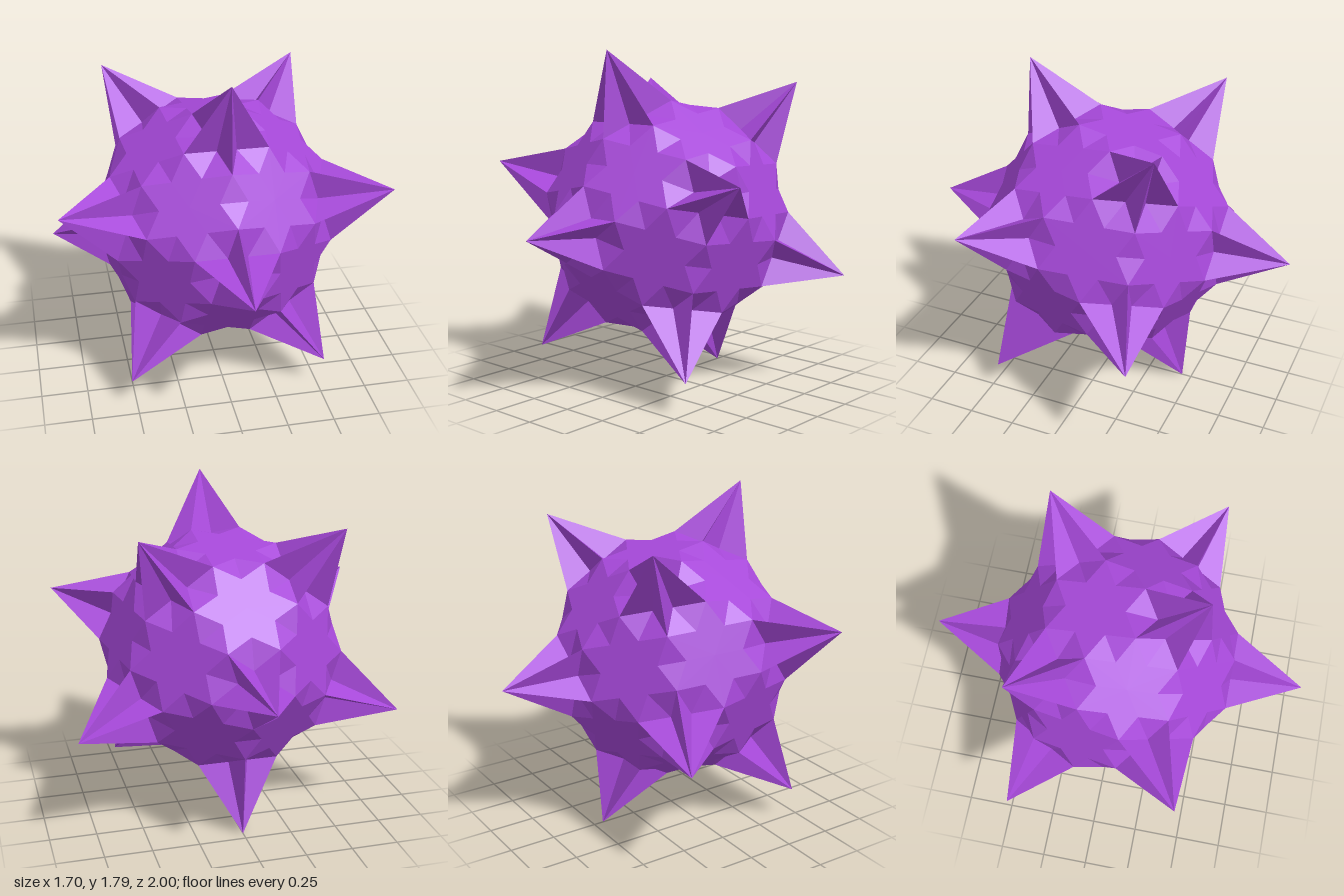
import * as THREE from 'three';

const CENTRE_Y = 0.8944;   // height of the ball centre
const CORE = 0.7565;       // circumradius of the icosahedron that is truncated into the ball

// Collects triangles, turning each one to face away from the centre
function facetMesh(name, triangles, material) {
  const positions = [];
  for (let [a, b, c] of triangles) {
    const normal = b.clone().sub(a).cross(c.clone().sub(a));
    if (normal.dot(a.clone().add(b).add(c)) < 0) [b, c] = [c, b];
    for (const p of [a, b, c]) positions.push(p.x, p.y, p.z);
  }
  const geometry = new THREE.BufferGeometry();
  geometry.setAttribute('position', new THREE.Float32BufferAttribute(positions, 3));
  geometry.computeVertexNormals();
  const mesh = new THREE.Mesh(geometry, material);
  mesh.name = name;
  return mesh;
}

const mean = (...pts) => pts.reduce((s, p) => s.add(p), new THREE.Vector3()).divideScalar(pts.length);

export function createModel() {
  const group = new THREE.Group();
  group.name = 'spikedStarBall';
  const material = new THREE.MeshStandardMaterial({ color: 0xa648d9, flatShading: true });

  // Twelve spike directions: front and back poles plus two rings of five
  const tips = [new THREE.Vector3(0, 0, 1), new THREE.Vector3(0, 0, -1)];
  for (const side of [1, -1]) {
    for (let i = 0; i < 5; i++) {
      const a = side * Math.PI / 2 + i * Math.PI * 0.4;
      tips.push(new THREE.Vector3(Math.cos(a) * 2, Math.sin(a) * 2, side).divideScalar(Math.sqrt(5)));
    }
  }
  const near = (i, j) => i !== j && tips[i].dot(tips[j]) > 0.4;

  // Ball corner on the edge from tip i to tip j
  const corner = (i, j) => tips[i].clone().multiplyScalar(2).add(tips[j]).multiplyScalar(CORE / 3);
  // Inner notch of the five-pointed star at tip i, between neighbours j and k
  const starNotch = (i, j, k) => {
    const centre = tips[i].clone().multiplyScalar(corner(i, j).dot(tips[i]));
    return centre.lerp(mean(corner(i, j), corner(i, k)), 0.4721);
  };
  // Inner notch of the six-pointed star on face i, j, k, beside the edge a-b
  const hexNotch = (i, j, k, a, b) =>
    mean(tips[i], tips[j], tips[k]).multiplyScalar(CORE).lerp(mean(a, b), 2 / 3);

  const stars = [], dents = [];
  const addDent = (a, b, p, q) => dents.push([a, p, q], [b, p, q]);
  const spikes = tips.map(() => []);

  for (let i = 0; i < 12; i++) for (let j = i + 1; j < 12; j++) {
    if (!near(i, j)) continue;
    const shared = [];
    for (let k = 0; k < 12; k++) if (near(i, k) && near(j, k)) shared.push(k);

    // Dent between two six-pointed stars
    const a = corner(i, j), b = corner(j, i);
    const [p, q] = shared.map((k) => hexNotch(i, j, k, a, b));
    addDent(a, b, p, q);

    for (const k of shared) {
      if (k < j) continue;
      // Flat six-pointed star
      const centre = mean(tips[i], tips[j], tips[k]).multiplyScalar(CORE);
      const hexagon = [corner(i, j), corner(j, i), corner(j, k), corner(k, j), corner(k, i), corner(i, k)];
      hexagon.forEach((c, n) => {
        const d = hexagon[(n + 1) % 6];
        const notch = hexNotch(i, j, k, c, d);
        stars.push([centre, c, notch], [centre, notch, d]);
      });
      // Spike flanks and the dents at their feet
      for (const [u, v, w] of [[i, j, k], [j, k, i], [k, i, j]]) {
        const c = corner(u, v), d = corner(u, w), notch = starNotch(u, v, w);
        spikes[u].push([tips[u], c, notch], [tips[u], notch, d]);
        addDent(c, d, notch, hexNotch(i, j, k, c, d));
      }
    }
  }

  group.add(facetMesh('ballStarFaces', stars, material));
  group.add(facetMesh('ballDents', dents, material));
  spikes.forEach((triangles, n) => group.add(facetMesh(`spike${n + 1}`, triangles, material)));
  group.children.forEach((mesh) => { mesh.position.y = CENTRE_Y; });
  return group;
}
